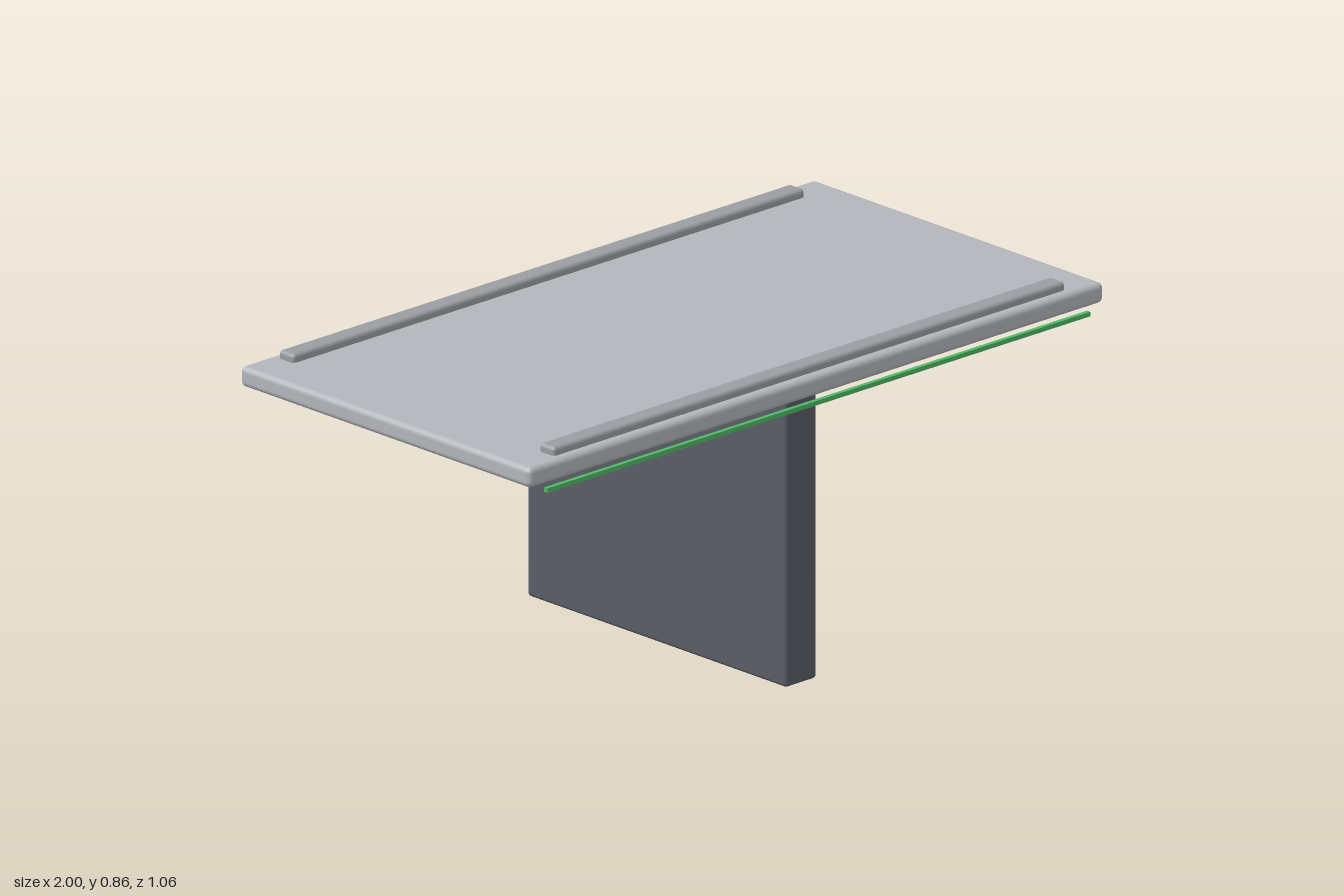
import * as THREE from 'three';
import { RoundedBoxGeometry } from 'three/addons/geometries/RoundedBoxGeometry.js';

const material = (color) => new THREE.MeshStandardMaterial({ color });

// Softly rounded block given by its size and centre
function block(name, size, centre, radius, mat) {
  const geometry = radius > 0
    ? new RoundedBoxGeometry(...size, 3, radius)
    : new THREE.BoxGeometry(...size);
  const mesh = new THREE.Mesh(geometry, mat);
  mesh.name = name;
  mesh.position.set(...centre);
  return mesh;
}

export function createModel() {
  const table = new THREE.Group();
  table.name = 'pedestalTable';

  const topGrey = material(0xb2b5ba);
  const railGrey = material(0x9a9da2);
  const darkGrey = material(0x5a5d66);
  const green = material(0x4fb866);
  const midZ = -0.002;

  // Upright panel carrying the top
  table.add(block('supportPanel', [0.11, 0.783, 0.944], [0, 0.3915, midZ], 0.011, darkGrey));

  // Table top
  table.add(block('tableTop', [2, 0.055, 1.057], [0, 0.81, midZ], 0.016, topGrey));

  // Low rails along the front and back edges
  for (const [name, side] of [['frontRail', 1], ['backRail', -1]]) {
    table.add(block(name, [1.78, 0.033, 0.055], [0, 0.8435, midZ + side * 0.474], 0.011, railGrey));
  }

  // Thin coloured strip below the front edge
  table.add(block('lightStrip', [1.888, 0.012, 0.012], [0, 0.768, 0.527], 0, green));

  return table;
}
